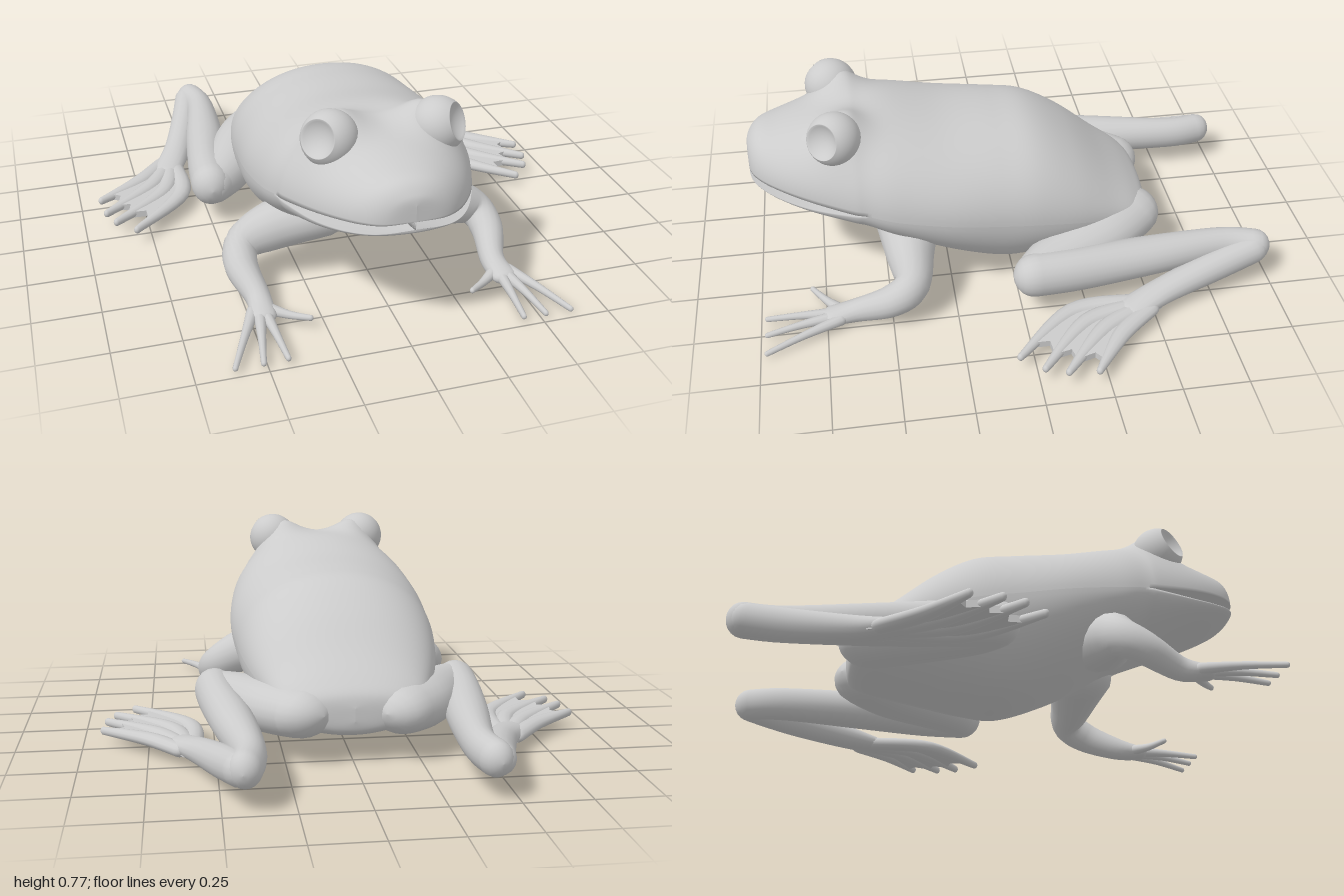
import * as THREE from 'three';

const material = new THREE.MeshStandardMaterial({ color: 0xcccccc, side: THREE.DoubleSide });

// Smooth interpolation through rows of numbers, u in 0..1
function sampleRows(rows, u) {
  const n = rows.length - 1;
  const i = Math.min(Math.floor(u * n), n - 1), t = u * n - i;
  const at = (k) => rows[Math.max(0, Math.min(n, k))];
  return rows[0].map((_, c) => {
    const a = at(i - 1)[c], b = at(i)[c], d = at(i + 1)[c], e = at(i + 2)[c];
    return b + 0.5 * t * (d - a + t * (2 * a - 5 * b + 4 * d - e + t * (3 * (b - d) + e - a)));
  });
}

// Skin a list of closed rings of Vector3
function skin(rings) {
  const m = rings[0].length, index = [];
  for (let i = 0; i < rings.length - 1; i++) {
    for (let j = 0; j < m; j++) {
      const a = i * m + j, b = i * m + (j + 1) % m;
      index.push(a, b, a + m, b, b + m, a + m);
    }
  }
  const g = new THREE.BufferGeometry().setFromPoints(rings.flat());
  g.setIndex(index);
  g.computeVertexNormals();
  return g;
}

function addMesh(parent, name, geometry) {
  const mesh = new THREE.Mesh(geometry, material);
  mesh.name = name;
  parent.add(mesh);
  return mesh;
}

// Rounded limb through rows of [x, y, z, half width, half height]
function limb(rows, side, steps = 20, sides = 16) {
  const path = rows.map(([x, ...rest]) => [x * side, ...rest]);
  const centre = (u) => new THREE.Vector3(...sampleRows(path, u).slice(0, 3));
  const rings = [];
  const ring = (u, offset, scale) => {
    const [, , , rw, rh] = sampleRows(path, u);
    const t = centre(Math.min(1, u + 0.01)).sub(centre(Math.max(0, u - 0.01))).normalize();
    const across = new THREE.Vector3(0, 1, 0).cross(t).normalize();
    const up = t.clone().cross(across);
    const c = centre(u).addScaledVector(t, offset * Math.min(rw, rh * 1.3));
    rings.push(Array.from({ length: sides }, (_, j) => {
      const a = (j / sides) * Math.PI * 2;
      return c.clone().addScaledVector(across, rw * scale * Math.cos(a)).addScaledVector(up, rh * scale * Math.sin(a));
    }));
  };
  const caps = [0, 0.3, 0.6, 0.9, 1.2];
  caps.forEach((a) => ring(0, -Math.cos(a), Math.sin(a)));
  for (let i = 0; i <= steps; i++) ring(i / steps, 0, 1);
  caps.reverse().forEach((a) => ring(1, Math.cos(a), Math.sin(a)));
  return skin(rings);
}

// Body and head: [z, top, upper lip, lower lip, bottom, half width]
const bodyRows = [
  [1.0, 0.555, 0.497, 0.468, 0.46, 0],
  [0.99, 0.59, 0.492, 0.462, 0.45, 0.1],
  [0.95, 0.63, 0.487, 0.452, 0.43, 0.17],
  [0.87, 0.65, 0.475, 0.437, 0.395, 0.235],
  [0.76, 0.675, 0.455, 0.424, 0.35, 0.295],
  [0.62, 0.7, 0.428, 0.42, 0.29, 0.35],
  [0.56, 0.702, 0.42, 0.42, 0.26, 0.365],
  [0.45, 0.698, 0.4, 0.4, 0.2, 0.393],
  [0.25, 0.655, 0.37, 0.37, 0.09, 0.41],
  [0.05, 0.635, 0.34, 0.34, 0.012, 0.4],
  [-0.1, 0.612, 0.32, 0.32, 0.02, 0.388],
  [-0.25, 0.525, 0.29, 0.29, 0.05, 0.36],
  [-0.4, 0.4, 0.25, 0.25, 0.08, 0.31],
  [-0.5, 0.32, 0.225, 0.225, 0.1, 0.265],
  [-0.55, 0.27, 0.21, 0.21, 0.125, 0.19],
  [-0.565, 0.22, 0.2, 0.2, 0.17, 0],
];

// Swelling of the head that carries the eyes
const brow = (x, z) => 0.085 * Math.exp(-((x - 0.175) ** 2 + (z - 0.63) ** 2) / 0.0085);

function bodyGeometry() {
  const rings = [], n = 24, steps = 105;
  for (let i = 0; i <= steps; i++) {
    const [z, top, upper, lower, bottom, w] = sampleRows(bodyRows, i / steps);
    const half = [];
    for (let k = 0; k <= n; k++) {
      const a = (k / n) * Math.PI / 2, x = w * Math.sin(a) ** 0.94;
      half.push([x, upper + (top - upper + brow(x, z)) * Math.cos(a)]);
    }
    // Mouth cavity, closing behind the jaw corner
    const inner = w * (1 - Math.min(1, Math.max(0, upper - lower) / 0.015));
    half.push([inner, upper], [inner, lower]);
    for (let k = 0; k <= n; k++) {
      const a = (k / n) * Math.PI / 2;
      half.push([w * Math.cos(a), lower + (bottom - lower) * Math.sin(a)]);
    }
    const mirrored = half.slice(1, -1).reverse().map(([x, y]) => [-x, y]);
    rings.push([...half, ...mirrored].map(([x, y]) => new THREE.Vector3(x, y, z)));
  }
  return skin(rings);
}

// Eye bulge with a hollow socket: a sphere whose cap is folded inwards
function eyeGeometry(r) {
  const rim = 0.72, profile = [];
  for (let a = Math.PI; a > rim; a -= 0.12) profile.push(new THREE.Vector2(r * Math.sin(a), r * Math.cos(a)));
  for (let k = 0; k <= 8; k++) {
    const a = rim * (1 - k / 8);
    profile.push(new THREE.Vector2(r * Math.sin(a), r * (2 * Math.cos(rim) - Math.cos(a))));
  }
  return new THREE.LatheGeometry(profile, 32);
}

const fingerTips = [[0.305, 0.045, 0.8], [0.43, 0.025, 0.975], [0.515, 0.022, 0.975], [0.612, 0.022, 0.975]];
const toeTips = [[0.92, -0.21], [0.91, -0.1], [0.88, -0.02], [0.81, 0.06]];
const toeBases = [[0.63, -0.47], [0.61, -0.45], [0.6, -0.43], [0.58, -0.41]];
const toeBends = [[0.745, -0.335], [0.71, -0.275], [0.665, -0.215], [0.6, -0.17]];

function addForeleg(parent, side) {
  const leg = new THREE.Group();
  leg.name = side > 0 ? 'leftForeleg' : 'rightForeleg';
  parent.add(leg);
  addMesh(leg, 'arm', limb([
    [0.16, 0.25, 0.41, 0.13, 0.1], [0.34, 0.21, 0.415, 0.095, 0.095],
    [0.46, 0.155, 0.42, 0.068, 0.072], [0.485, 0.105, 0.5, 0.062, 0.062],
    [0.455, 0.05, 0.63, 0.046, 0.046], [0.46, 0.038, 0.73, 0.05, 0.028],
  ], side, 30));
  fingerTips.forEach(([x, y, z], i) => {
    const bx = 0.43 + i * 0.02, bz = 0.7 + (i % 3) * 0.012;
    addMesh(leg, 'finger', limb([
      [bx, 0.04, bz, 0.024, 0.022], [(bx + x) / 2, 0.036, (bz + z) / 2, 0.015, 0.015], [x, y, z, 0.01, 0.011],
    ], side, 8, 10));
  });
}

function addHindLeg(parent, side) {
  const leg = new THREE.Group();
  leg.name = side > 0 ? 'leftHindLeg' : 'rightHindLeg';
  parent.add(leg);
  addMesh(leg, 'thigh', limb([
    [0.19, 0.19, -0.48, 0.125, 0.095], [0.29, 0.18, -0.35, 0.125, 0.1],
    [0.405, 0.165, -0.14, 0.1, 0.088], [0.475, 0.16, -0.05, 0.08, 0.08],
  ], side, 20, 20));
  addMesh(leg, 'shin', limb([
    [0.49, 0.165, -0.045, 0.08, 0.085], [0.475, 0.16, -0.22, 0.078, 0.085],
    [0.435, 0.155, -0.48, 0.08, 0.078], [0.398, 0.15, -0.8, 0.06, 0.068], [0.42, 0.145, -0.942, 0.06, 0.066],
  ], side, 24, 20));
  addMesh(leg, 'ankle', limb([
    [0.435, 0.14, -0.93, 0.058, 0.06], [0.48, 0.108, -0.76, 0.06, 0.06],
    [0.55, 0.078, -0.55, 0.058, 0.048], [0.625, 0.062, -0.39, 0.062, 0.028],
  ], side));

  // Long toes joined by a scalloped web
  const along = (i, u) => sampleRows([toeBases[i], toeBends[i], toeTips[i]], u);
  const outline = [[0.55, -0.5], [0.62, -0.52], along(0, 0.25), along(0, 0.5)];
  toeTips.forEach((tip, i) => {
    addMesh(leg, 'toe', limb([
      [toeBases[i][0], 0.06, toeBases[i][1], 0.034, 0.026],
      [toeBends[i][0], 0.062, toeBends[i][1], 0.035, 0.025],
      [tip[0], 0.062, tip[1], 0.013, 0.016],
    ], side, 14, 12));
    outline.push(along(i, 0.85));
    if (i < 3) {
      const a = along(i, 0.78), b = along(i + 1, 0.78);
      outline.push([(a[0] + b[0]) / 2, (a[1] + b[1]) / 2]);
    }
  });
  outline.push(along(3, 0.65), along(3, 0.5), along(3, 0.25));
  const shape = new THREE.Shape(outline.map(([x, z]) => new THREE.Vector2(x * side, z)));
  const web = new THREE.ExtrudeGeometry(shape, { depth: 0.026, bevelEnabled: false });
  web.rotateX(Math.PI / 2).translate(0, 0.074, 0);
  addMesh(leg, 'web', web);
}

export function createModel() {
  const frog = new THREE.Group();
  frog.name = 'frog';
  addMesh(frog, 'body', bodyGeometry());
  for (const side of [1, -1]) {
    const eye = addMesh(frog, side > 0 ? 'leftEye' : 'rightEye', eyeGeometry(0.102));
    eye.position.set(0.196 * side, 0.668, 0.662);
    const facing = new THREE.Vector3(0.72 * side, 0.32, 0.6).normalize();
    eye.quaternion.setFromUnitVectors(new THREE.Vector3(0, 1, 0), facing);
    addForeleg(frog, side);
    addHindLeg(frog, side);
  }
  return frog;
}
